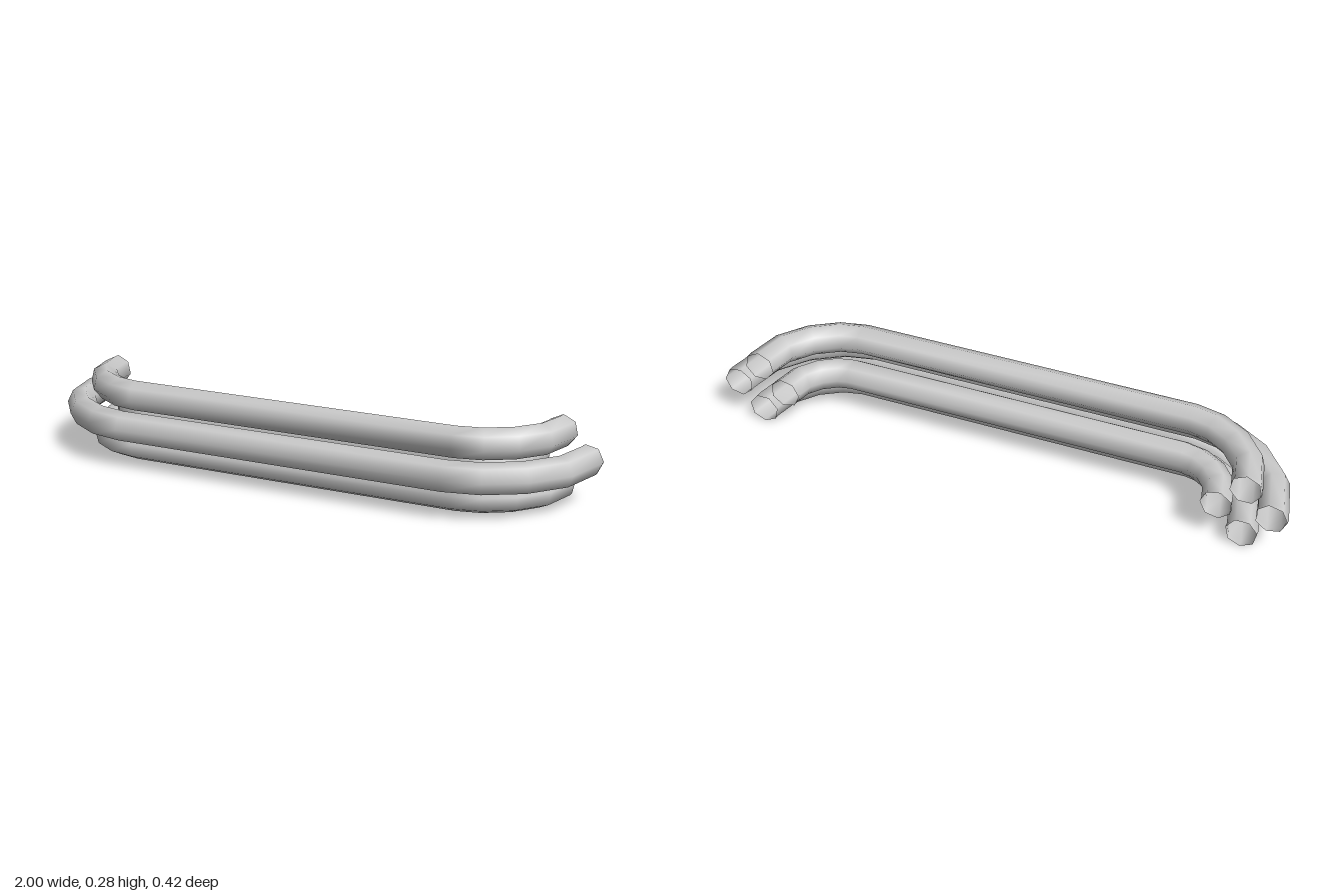
import * as THREE from 'three';

const RADIUS = 0.053, SIDES = 7, BACK = -0.212, SPREAD = 0.0895;
const BEND_X = 0.6, BEND_Z = -0.195, BEND_STEPS = 4, ROUND = 0.61;

// Stations (position and tangent in the xz plane) of one U-shaped pipe, from +x end to -x end
function pipeStations(x, z) {
  const bend = new THREE.CubicBezierCurve(
    new THREE.Vector2(x, BEND_Z),
    new THREE.Vector2(x, BEND_Z + (z - BEND_Z) * ROUND),
    new THREE.Vector2(BEND_X + (x - BEND_X) * (1 - ROUND), z),
    new THREE.Vector2(BEND_X, z)
  );
  const half = [{ p: new THREE.Vector2(x, BACK), t: new THREE.Vector2(0, 1) }];
  for (let i = 0; i <= BEND_STEPS; i++) {
    const u = i / BEND_STEPS;
    half.push({ p: bend.getPoint(u), t: bend.getTangent(u) });
  }
  const mirrored = half.map(({ p, t }) => ({
    p: new THREE.Vector2(-p.x, p.y), t: new THREE.Vector2(t.x, -t.y)
  })).reverse();
  return [...half, ...mirrored];
}

// Open seven-sided tube swept along the stations, rolled by a given angle
function pipeGeometry(stations, y, roll) {
  const positions = [], index = [];
  stations.forEach(({ p, t }, i) => {
    for (let j = 0; j < SIDES; j++) {
      const a = roll + (j / SIDES) * Math.PI * 2;
      const out = Math.cos(a) * RADIUS;
      positions.push(p.x + t.y * out, y + Math.sin(a) * RADIUS, p.y - t.x * out);
      if (i === stations.length - 1) continue;
      const k = (j + 1) % SIDES;
      const a0 = i * SIDES + j, a1 = i * SIDES + k;
      const b0 = a0 + SIDES, b1 = a1 + SIDES;
      index.push(a0, a1, b0, a1, b1, b0);
    }
  });
  const geometry = new THREE.BufferGeometry();
  geometry.setAttribute('position', new THREE.Float32BufferAttribute(positions, 3));
  geometry.setIndex(index);
  geometry.computeVertexNormals();
  return geometry;
}

export function createModel() {
  const group = new THREE.Group();
  group.name = 'pipeBundle';
  const material = new THREE.MeshStandardMaterial({ color: 0xcccccc, side: THREE.DoubleSide });

  // Four pipes set in a diamond around the bundle's centre line
  ['outerPipe', 'topPipe', 'innerPipe', 'bottomPipe'].forEach((name, i) => {
    const roll = (i * Math.PI) / 2;
    const offset = Math.cos(roll) * SPREAD;
    const stations = pipeStations(0.8575 + offset, 0.0695 + offset);
    const mesh = new THREE.Mesh(
      pipeGeometry(stations, 0.1425 + Math.sin(roll) * SPREAD, roll), material);
    mesh.name = name;
    group.add(mesh);
  });
  return group;
}
